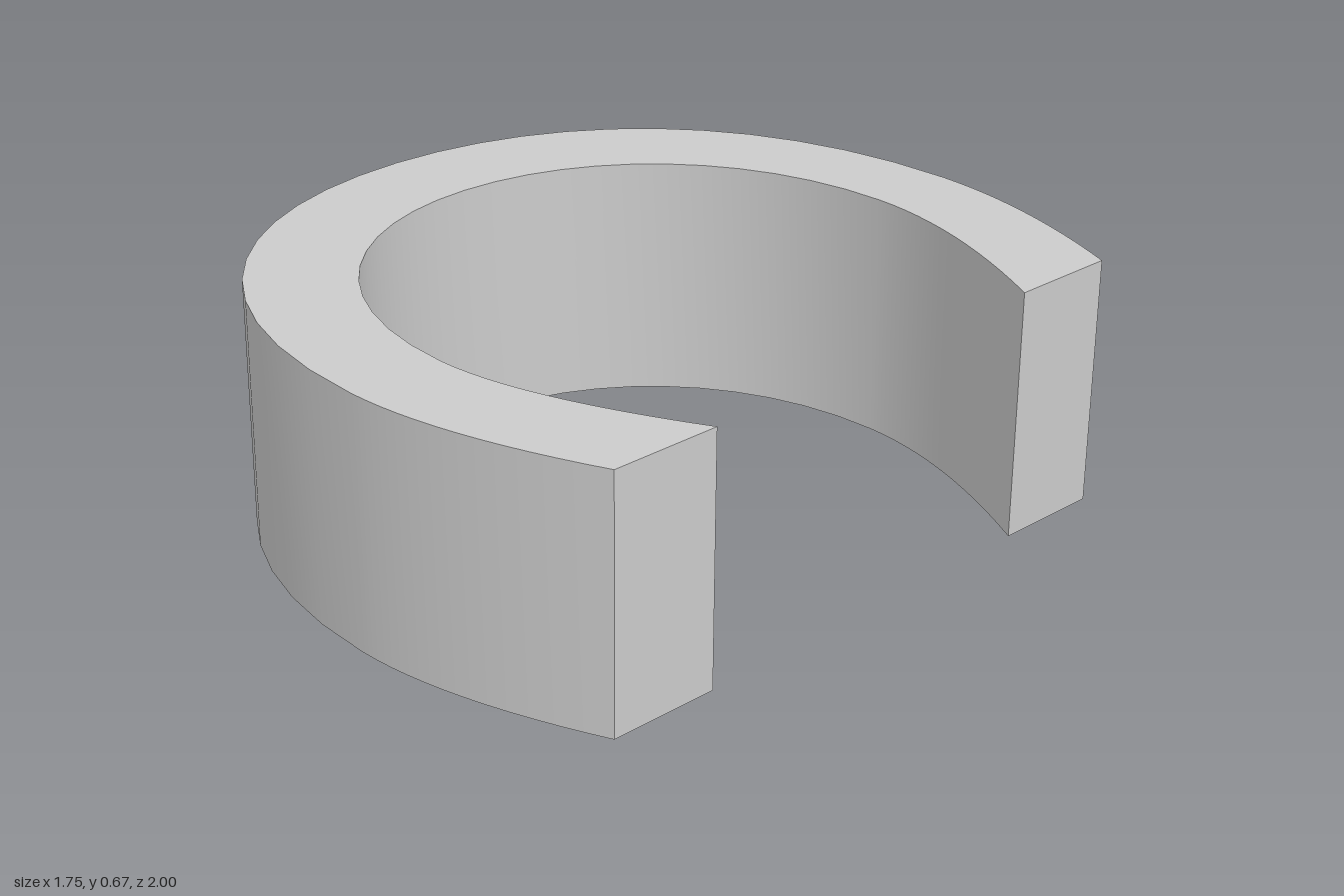
import * as THREE from 'three';
import { toCreasedNormals } from 'three/addons/utils/BufferGeometryUtils.js';

const HEIGHT = 0.665;
const CX = 0.2; // x of the band's topmost and bottommost points

// Quarter curve between (CX, y) and the left extreme (x, 0), slightly fuller than an ellipse
function quarter(shape, x, y, kTop, kSide, toSide) {
  const top = [CX + (x - CX) * kTop, y];
  const side = [x, y * kSide];
  if (toSide) shape.bezierCurveTo(...top, ...side, x, 0);
  else shape.bezierCurveTo(...side, ...top, CX, y);
}

export function createModel() {
  const group = new THREE.Group();
  group.name = 'openRing';

  // Plan outline of the open band; shape +y becomes the back (-z)
  const s = new THREE.Shape();
  s.moveTo(0.855, 0.845);
  // outer edge, back arm to front arm
  s.quadraticCurveTo(0.49, 1, CX, 1);
  quarter(s, -0.88, 1, 0.64, 0.55, true);
  quarter(s, -0.88, -0.997, 0.64, 0.55, false);
  s.quadraticCurveTo(0.49, -0.997, 0.875, -0.825);
  // front end face
  s.lineTo(0.875, -0.52);
  // inner edge, front arm to back arm
  s.quadraticCurveTo(0.47, -0.74, CX, -0.74);
  quarter(s, -0.595, -0.74, 0.59, 0.55, true);
  quarter(s, -0.595, 0.75, 0.59, 0.55, false);
  s.quadraticCurveTo(0.47, 0.75, 0.855, 0.545);
  s.closePath();

  // Extrude upwards, smooth along the walls and sharp at the rims and ends
  const extruded = new THREE.ExtrudeGeometry(s, { depth: HEIGHT, bevelEnabled: false, curveSegments: 12 });
  extruded.rotateX(-Math.PI / 2);
  const band = new THREE.Mesh(
    toCreasedNormals(extruded, Math.PI / 6),
    new THREE.MeshStandardMaterial({ color: 0xcccccc })
  );
  band.name = 'band';
  group.add(band);
  return group;
}
